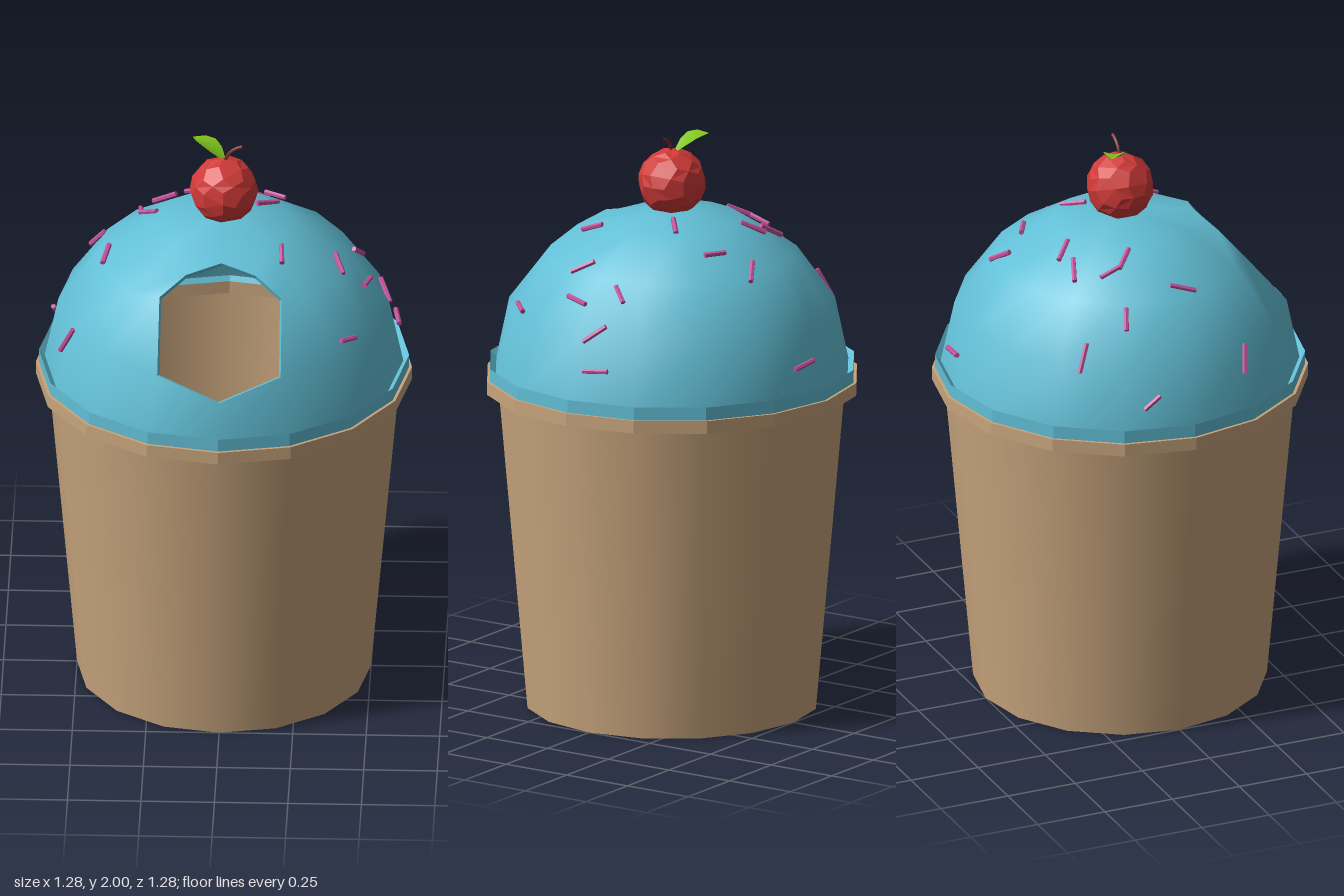
import * as THREE from 'three';

const SIDES = 16;
const DOME = { y: 1.18, r: 0.61, h: 0.57 };
const mat = (color, extra = {}) => {
  const m = new THREE.MeshStandardMaterial({ color });
  return Object.assign(m, extra);
};

// Point on the dome ellipsoid above (or in front of) a given position
const domeY = (x, z) => DOME.y + DOME.h * Math.sqrt(Math.max(0, 1 - (x * x + z * z) / DOME.r ** 2));
const domeZ = (x, y) => Math.sqrt(Math.max(0, DOME.r ** 2 * (1 - ((y - DOME.y) / DOME.h) ** 2) - x * x));

// Grid vertices around the opening are shifted to shape it: 'row,column' -> [x, y]
const OPENING = {
  '1,0': [0, 1.32],
  '1,1': [0.21, 1.39], '1,15': [-0.21, 1.39],
  '2,1': [0.208, 1.6], '2,15': [-0.208, 1.6],
  '3,1': [0.12, 1.66], '3,15': [-0.12, 1.66],
  '3,0': [0, 1.69],
};
const LOOP = [[1, 0], [1, 1], [2, 1], [3, 1], [3, 0], [3, 15], [2, 15], [1, 15]];

function domePoint(row, col, scale) {
  const p = new THREE.Vector3();
  const moved = OPENING[`${row},${col}`];
  if (moved) p.set(moved[0], moved[1], domeZ(moved[0], moved[1]));
  else {
    const lat = row * Math.PI / 8, phi = col * 2 * Math.PI / SIDES;
    const r = DOME.r * Math.cos(lat);
    p.set(r * Math.sin(phi), DOME.y + DOME.h * Math.sin(lat), r * Math.cos(phi));
  }
  p.y -= DOME.y;
  p.multiplyScalar(scale);
  p.y += DOME.y;
  return p;
}

function geometryFrom(points, index) {
  const g = new THREE.BufferGeometry().setFromPoints(points);
  g.setIndex(index);
  g.computeVertexNormals();
  return g;
}

// Dome skin with the front cells left out
function domeSkin(scale, inward) {
  const points = [], index = [];
  for (let row = 0; row < 4; row++)
    for (let col = 0; col < SIDES; col++) points.push(domePoint(row, col, scale));
  points.push(domePoint(4, 0, scale));
  const tri = (a, b, c) => index.push(...(inward ? [a, c, b] : [a, b, c]));
  for (let row = 0; row < 4; row++)
    for (let col = 0; col < SIDES; col++) {
      const isOpen = (row === 1 || row === 2) && (col === 0 || col === SIDES - 1);
      if (isOpen) continue;
      const next = (col + 1) % SIDES;
      const a = row * SIDES + col, b = row * SIDES + next;
      if (row === 3) { tri(a, b, 4 * SIDES); continue; }
      tri(a, b, b + SIDES);
      tri(a, b + SIDES, a + SIDES);
    }
  return geometryFrom(points, index);
}

// Thin wall joining the two dome skins around the opening
function openingEdge(inner) {
  const points = [], index = [];
  for (const [row, col] of LOOP) points.push(domePoint(row, col, 1), domePoint(row, col, inner));
  const n = points.length;
  for (let i = 0; i < n; i += 2) {
    const j = (i + 2) % n;
    index.push(i, j, j + 1, i, j + 1, i + 1);
  }
  return geometryFrom(points, index);
}

// Ring with hard edges, swept from a profile of [radius, y]
function ring(profile) {
  const pts = profile.map(([r, y]) => new THREE.Vector2(r, y));
  return new THREE.LatheGeometry(pts, SIDES);
}

export function createModel() {
  const model = new THREE.Group();
  const add = (name, geometry, material, parent = model) => {
    const mesh = new THREE.Mesh(geometry, material);
    mesh.name = name;
    parent.add(mesh);
    return mesh;
  };
  const tan = mat(0xc8a57d, { side: THREE.DoubleSide });
  const blue = mat(0x62bfd6);
  const blueThin = mat(0x62bfd6, { side: THREE.DoubleSide, flatShading: true });
  const red = mat(0xd03a38, { flatShading: true });
  const pink = mat(0xc4539b, { flatShading: true });

  // Cup: open tapered wall, floor and rim
  add('cupWall', new THREE.CylinderGeometry(0.6, 0.5, 1.13, SIDES, 1, true), tan).position.y = 0.565;
  const floor = add('cupFloor', new THREE.CircleGeometry(0.5, SIDES), tan);
  floor.rotation.x = Math.PI / 2;
  const rimMat = mat(0xc8a57d, { side: THREE.DoubleSide, flatShading: true });
  add('cupRim', ring([[0.595, 1.11], [0.64, 1.11], [0.64, 1.155], [0.595, 1.155], [0.595, 1.11]]), rimMat);

  // Lid: raised lip and dome with an opening at the front
  add('lidLip', ring([[0.595, 1.155], [0.63, 1.155], [0.63, 1.2], [0.61, 1.18], [0.595, 1.155]]), blueThin);
  add('domeOuter', domeSkin(1, false), blue);
  add('domeInner', domeSkin(0.97, true), blue);
  add('openingEdge', openingEdge(0.97), blueThin);

  // Sprinkles lying on the dome: x, z of each end
  const sprinkles = new THREE.Group();
  sprinkles.name = 'sprinkles';
  model.add(sprinkles);
  const ends = [
    [0.02, -0.597, 0.12, -0.588], [0.07, -0.38, 0.14, -0.42], [0.13, -0.31, 0.2, -0.27],
    [-0.25, -0.28, -0.17, -0.25], [-0.14, -0.29, -0.08, -0.23], [-0.45, -0.35, -0.42, -0.31],
    [-0.46, -0.18, -0.41, -0.16], [-0.29, -0.2, -0.285, -0.13], [-0.29, -0.13, -0.23, -0.07],
    [-0.58, -0.165, -0.584, -0.11], [-0.39, 0.015, -0.41, 0.1], [-0.55, 0.22, -0.505, 0.24],
    [0.11, -0.08, 0.18, -0.14], [0.44, -0.07, 0.47, -0.12], [0.53, -0.09, 0.565, -0.02],
    [0.58, -0.13, 0.595, -0.04], [0.5, 0.015, 0.48, 0.1], [0.38, 0.06, 0.41, 0.135],
    [0.2, 0.15, 0.205, 0.23], [0.46, 0.3, 0.41, 0.355],
  ];
  const up = new THREE.Vector3(0, 1, 0);
  for (const [x1, z1, x2, z2] of ends) {
    const a = new THREE.Vector3(x1, domeY(x1, z1), z1);
    const b = new THREE.Vector3(x2, domeY(x2, z2), z2);
    const dir = b.clone().sub(a);
    const s = add('sprinkle', new THREE.CylinderGeometry(0.009, 0.009, dir.length(), 6), pink, sprinkles);
    s.position.copy(a).add(b).multiplyScalar(0.5);
    s.quaternion.setFromUnitVectors(up, dir.normalize());
  }

  // Cherry with curved stem
  add('cherry', new THREE.DodecahedronGeometry(0.117, 1), red).position.y = 1.83;
  const stemPath = new THREE.QuadraticBezierCurve3(
    new THREE.Vector3(0, 1.92, 0), new THREE.Vector3(0.005, 1.98, 0), new THREE.Vector3(0.062, 1.994, 0));
  add('stem', new THREE.TubeGeometry(stemPath, 6, 0.006, 6), mat(0x7a2a2c));

  // Leaf: cross-sections of [left edge, midrib, right edge], gently folded
  const tip = new THREE.Vector3(-0.108, 1.988, -0.078), root = new THREE.Vector3(0, 1.935, -0.012);
  const across = new THREE.Vector3(-0.58, 0.1, 0.81);
  const widths = [0.008, 0.032, 0.04, 0.03, 0.002];
  const points = [], index = [];
  widths.forEach((w, i) => {
    const t = i / (widths.length - 1);
    const mid = root.clone().lerp(tip, t);
    mid.y += 0.016 * Math.sin(Math.PI * t);
    for (const s of [-1, 0, 1]) {
      const p = mid.clone().addScaledVector(across, s * w);
      if (s) p.y += w * 0.25;
      points.push(p);
    }
    if (i) for (const k of [0, 1]) {
      const a = (i - 1) * 3 + k;
      index.push(a, a + 1, a + 4, a, a + 4, a + 3);
    }
  });
  add('leaf', geometryFrom(points, index), mat(0x7fc41c, { side: THREE.DoubleSide }));

  return model;
}
